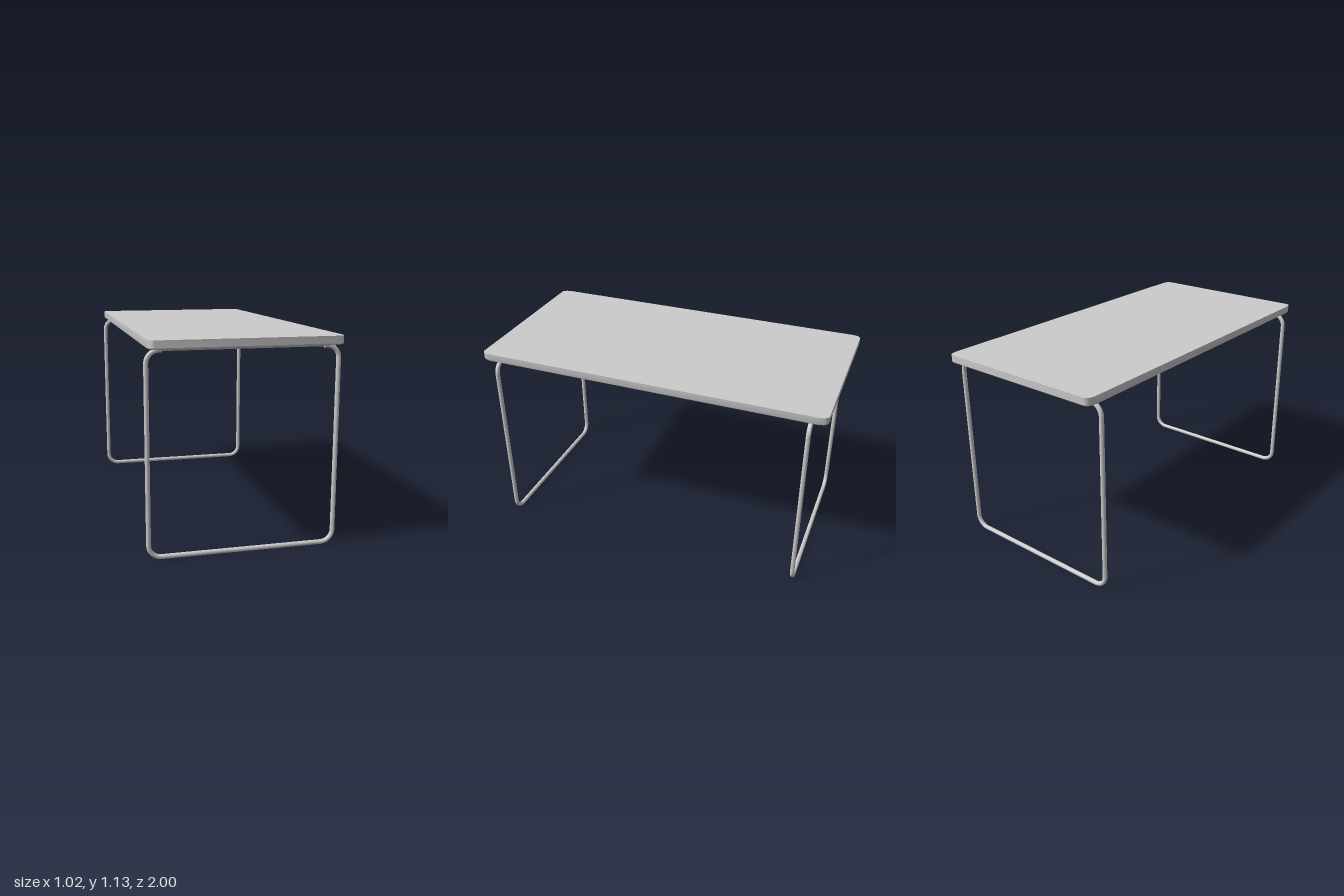
import * as THREE from 'three';
import { toCreasedNormals } from 'three/addons/utils/BufferGeometryUtils.js';

const material = new THREE.MeshStandardMaterial({ color: 0xcccccc, side: THREE.DoubleSide });

// Stacks rounded-rectangle loops [halfX, halfZ, y], from the top down.
function loftSlab(levels, cornerX, cornerZ, steps = 8) {
  const positions = [], index = [];
  const count = 4 * (steps + 1);
  for (const [hx, hz, y] of levels) {
    const rx = Math.min(cornerX, hx), rz = Math.min(cornerZ, hz);
    for (let q = 0; q < 4; q++) {
      const sx = q === 0 || q === 3 ? 1 : -1, sz = q < 2 ? 1 : -1;
      for (let s = 0; s <= steps; s++) {
        const a = (q + s / steps) * Math.PI / 2;
        positions.push(sx * (hx - rx) + rx * Math.cos(a), y, sz * (hz - rz) + rz * Math.sin(a));
      }
    }
  }
  for (let l = 0; l < levels.length - 1; l++) {
    for (let i = 0; i < count; i++) {
      const a = l * count + i, b = l * count + (i + 1) % count;
      index.push(a, b, a + count, b, b + count, a + count);
    }
  }
  const geometry = new THREE.BufferGeometry();
  geometry.setAttribute('position', new THREE.Float32BufferAttribute(positions, 3));
  geometry.setIndex(index);
  return toCreasedNormals(geometry, 0.5);
}

// Bent tube loop: bottom runner, two uprights and ends tucked under the top.
function legPath(halfWidth, bottom, top, radius, endX) {
  const path = new THREE.CurvePath();
  const v = (x, y) => new THREE.Vector3(x, y, 0);
  const k = radius * (1 - 0.5523);
  const w = halfWidth, r = radius;
  const line = (a, b) => path.add(new THREE.LineCurve3(a, b));
  const bend = (a, b, c, d) => path.add(new THREE.CubicBezierCurve3(a, b, c, d));
  line(v(-endX, top), v(-w + r, top));
  bend(v(-w + r, top), v(-w + k, top), v(-w, top - k), v(-w, top - r));
  line(v(-w, top - r), v(-w, bottom + r));
  bend(v(-w, bottom + r), v(-w, bottom + k), v(-w + k, bottom), v(-w + r, bottom));
  line(v(-w + r, bottom), v(w - r, bottom));
  bend(v(w - r, bottom), v(w - k, bottom), v(w, bottom + k), v(w, bottom + r));
  line(v(w, bottom + r), v(w, top - r));
  bend(v(w, top - r), v(w, top - k), v(w - k, top), v(w - r, top));
  line(v(w - r, top), v(endX, top));
  return path;
}

export function createModel() {
  const group = new THREE.Group();
  group.name = 'table';

  // Flat top with rounded corners and a softened lower rim
  const tabletop = new THREE.Mesh(loftSlab([
    [0, 0, 1.13], [0.5, 1, 1.13], [0.5, 1, 1.092], [0.498, 0.997, 1.087],
    [0.492, 0.99, 1.084], [0, 0, 1.084],
  ], 0.03, 0.055), material);
  tabletop.name = 'tabletop';
  group.add(tabletop);

  // Shallow tapered underside
  const underside = new THREE.Mesh(loftSlab([
    [0.48, 0.97, 1.085], [0.465, 0.94, 1.076], [0.45, 0.91, 1.068],
    [0.42, 0.86, 1.064], [0.36, 0.75, 1.062], [0, 0, 1.062],
  ], 0.04, 0.06), material);
  underside.name = 'underside';
  group.add(underside);

  // Tube leg frames at both ends
  const legGeometry = new THREE.TubeGeometry(legPath(0.4995, 0.0125, 1.0735, 0.066, 0.42), 320, 0.0125, 16, false);
  for (const [name, z] of [['frontLeg', 0.91], ['backLeg', -0.91]]) {
    const leg = new THREE.Mesh(legGeometry, material);
    leg.name = name;
    leg.position.z = z;
    group.add(leg);
  }
  return group;
}
